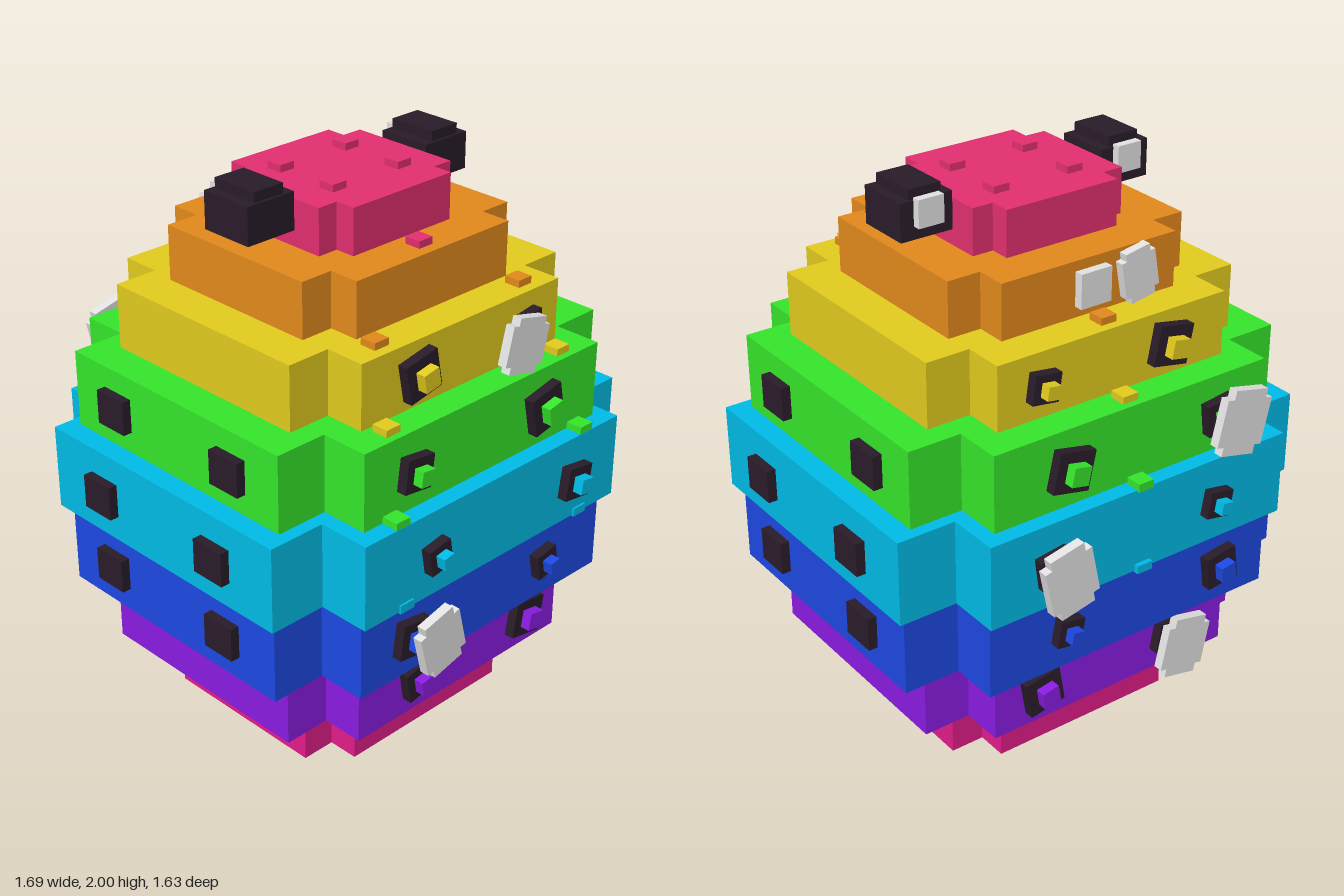
import * as THREE from 'three';

const mat = (name, hex) => {
  const m = new THREE.MeshStandardMaterial({ color: hex });
  m.name = name;
  return m;
};

export function createModel() {
  const model = new THREE.Group();
  model.name = 'layeredTower';

  const magenta = mat('magenta', 0xe31d8b), purple = mat('purple', 0x8b1ce3);
  const blue = mat('blue', 0x1d49e4), cyan = mat('cyan', 0x00bce7);
  const green = mat('green', 0x35e62b), yellow = mat('yellow', 0xe3cc1e);
  const orange = mat('orange', 0xe38a1c), pink = mat('pink', 0xe32f70);
  const black = mat('black', 0x291c29), grey = mat('grey', 0xe3e3e3);

  const add = (name, geometry, material, x, y, z, angle = 0) => {
    const mesh = new THREE.Mesh(geometry, material);
    mesh.name = name;
    mesh.position.set(x, y, z);
    mesh.rotation.z = THREE.MathUtils.degToRad(angle);
    model.add(mesh);
    return mesh;
  };
  const box = (name, material, w, h, d, x, y, z, angle) =>
    add(name, new THREE.BoxGeometry(w, h, d), material, x, y, z, angle);

  // Rectangle with a square step cut out of each corner
  const steppedShape = (w, h, nw, nh) => new THREE.Shape([
    [w, -nh], [w, nh], [nw, nh], [nw, h], [-nw, h], [-nw, nh],
    [-w, nh], [-w, -nh], [-nw, -nh], [-nw, -h], [nw, -h], [nw, -nh],
  ].map(([x, y]) => new THREE.Vector2(x, y)));
  const extrude = (shape, depth) =>
    new THREE.ExtrudeGeometry(shape, { depth, bevelEnabled: false });

  // Stacked layers: material, bottom, top, half width, front z, back z
  const layers = {
    base: [magenta, 0, 0.23, 0.48, 0.455, -0.412],
    purple: [purple, 0.23, 0.495, 0.663, 0.61, -0.567],
    blue: [blue, 0.495, 0.785, 0.78, 0.705, -0.662],
    cyan: [cyan, 0.785, 1.088, 0.812, 0.745, -0.703],
    green: [green, 1.088, 1.36, 0.737, 0.682, -0.645],
    yellow: [yellow, 1.36, 1.587, 0.612, 0.574, -0.535],
    orange: [orange, 1.587, 1.78, 0.465, 0.442, -0.407],
    top: [pink, 1.78, 1.94, 0.295, 0.3, -0.262],
  };
  for (const [name, [material, y0, y1, w, front, back]] of Object.entries(layers)) {
    const half = (front - back) / 2;
    const geometry = extrude(steppedShape(w, half, w * 0.74, half * 0.74), y1 - y0);
    geometry.rotateX(-Math.PI / 2);
    add(name + 'Layer', geometry, material, 0, y0, (front + back) / 2);
  }

  // Tilted black plates with a coloured stud, alike on front and back
  const plates = [
    ['yellow', 1.475, -0.215, 0.138, 11], ['yellow', 1.475, 0.29, 0.1, 8],
    ['green', 1.225, -0.34, 0.115, -7], ['green', 1.225, 0.265, 0.14, 12],
    ['cyan', 0.935, -0.3, 0.095, 10], ['cyan', 0.935, 0.37, 0.115, -8],
    ['blue', 0.64, -0.365, 0.125, -8], ['blue', 0.64, 0.28, 0.095, 10],
    ['purple', 0.36, -0.235, 0.115, 10], ['purple', 0.36, 0.31, 0.138, -10],
  ];
  for (const [layer, y, x, size, angle] of plates) {
    const [material, , , , front, back] = layers[layer];
    for (const [z, s] of [[front, 1], [back, -1]]) {
      box('plate', black, size, size, 0.04, x, y, z + s * 0.016, angle);
      box('stud', material, size * 0.47, size * 0.47, 0.05, x, y, z + s * 0.047, angle);
    }
  }

  // Black square pads on the two sides
  for (const layer of ['green', 'cyan', 'blue']) {
    const [, y0, y1, w] = layers[layer];
    for (const s of [-1, 1]) {
      for (const z of [0.295, -0.257]) {
        box('sidePad', black, 0.05, 0.12, 0.13, s * (w + 0.008), (y0 + y1) / 2, z);
      }
    }
  }

  // Grey stepped discs: x, y, z centre, width, height, angle
  const discs = [
    [0.177, 1.475, 0.672, 0.18, 0.19, -14],
    [-0.315, 0.64, 0.797, 0.18, 0.212, 14],
    [0.37, 0.935, -0.797, 0.182, 0.235, -12],
    [-0.37, 1.225, -0.737, 0.195, 0.23, 13],
    [-0.235, 0.36, -0.66, 0.185, 0.222, 12],
    [-0.178, 1.685, -0.422, 0.135, 0.18, -10],
  ];
  for (const [x, y, z, w, h, angle] of discs) {
    const geometry = extrude(steppedShape(w / 2, h / 2, w * 0.36, h * 0.36), 0.034);
    geometry.translate(0, 0, -0.017);
    add('disc', geometry, grey, x, y, z, angle);
  }
  box('backPlate', grey, 0.12, 0.12, 0.034, 0, 1.685, -0.422);

  // Small nubs on the ledges: material, y of ledge, positions
  const nubs = [
    [pink, 1.94, [[-0.145, -0.105], [0.145, -0.105], [-0.145, 0.135], [0.145, 0.135]]],
    [pink, 1.78, [[0, 0.372]]],
    [orange, 1.587, [[-0.33, 0.507], [0.33, 0.507], [0, -0.473]]],
    [yellow, 1.36, [[-0.397, 0.627], [0.397, 0.627], [0, -0.59]]],
    [green, 1.088, [[-0.437, 0.714], [0.437, 0.714], [0, -0.682]]],
    [cyan, 0.785, [[-0.42, 0.722], [0.42, 0.722], [0, -0.69]]],
  ];
  for (const [material, y, spots] of nubs) {
    for (const [x, z] of spots) box('nub', material, 0.06, 0.03, 0.06, x, y + 0.01, z);
  }

  // Black blocks on either side of the top, each with a cap and a rear plate
  for (const s of [-1, 1]) {
    box('topBlock', black, 0.193, 0.13, 0.2, s * 0.3925, 1.9, 0.018);
    box('topBlockCap', black, 0.12, 0.035, 0.18, s * 0.3925, 1.9825, 0.018);
    box('topBlockRearPlate', grey, 0.095, 0.095, 0.03, s * 0.3925, 1.927, -0.095);
  }

  return model;
}
